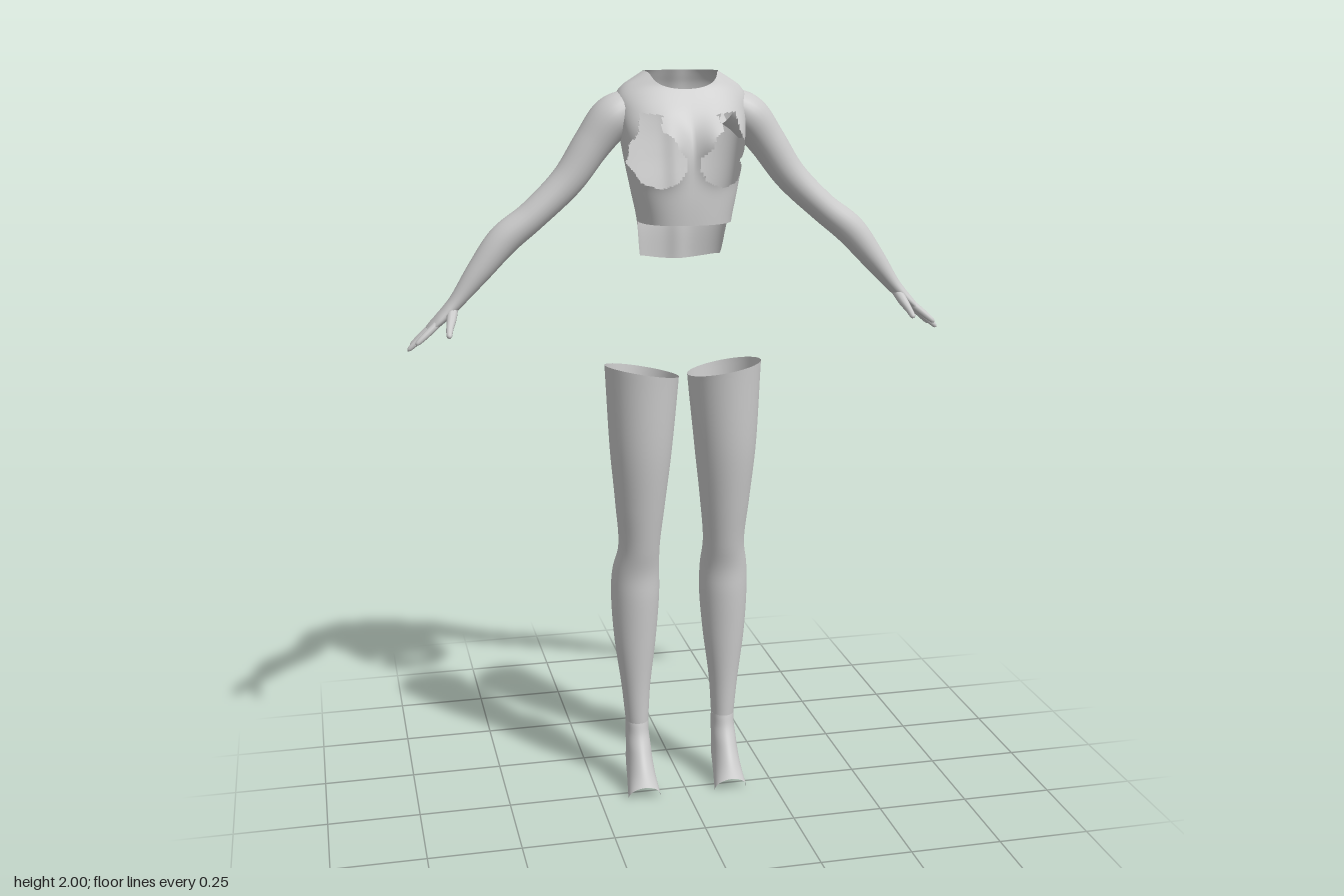
import * as THREE from 'three';
import { mergeVertices } from 'three/addons/utils/BufferGeometryUtils.js';

const material = new THREE.MeshStandardMaterial({ color: 0xcccccc, side: THREE.DoubleSide });
const { sin, cos, PI, min, max, abs, sign, exp } = Math;
const smooth = THREE.MathUtils.smoothstep;

// Smooth lookup through rows of [key, value, value, ...]
function lookup(rows) {
  const n = rows[0].length - 1;
  const spline = new THREE.CubicInterpolant(rows.map(r => r[0]), rows.flatMap(r => r.slice(1)), n, new Float32Array(n));
  return t => Array.from(spline.evaluate(t));
}

// Surface from point(u, v); quads whose middle fails keep() are left out
function surface(name, nu, nv, point, keep = () => true) {
  const pts = [], index = [];
  for (let j = 0; j <= nv; j++) for (let i = 0; i <= nu; i++) pts.push(new THREE.Vector3(...point(i / nu, j / nv)));
  for (let j = 0; j < nv; j++) for (let i = 0; i < nu; i++) {
    const a = j * (nu + 1) + i, b = a + 1, c = a + nu + 1, d = c + 1;
    if (keep(pts[a].clone().add(pts[d]).multiplyScalar(0.5))) index.push(a, b, d, a, d, c);
  }
  let geometry = new THREE.BufferGeometry().setFromPoints(pts).setIndex(index);
  geometry = mergeVertices(geometry, 1e-5);
  geometry.computeVertexNormals();
  const mesh = new THREE.Mesh(geometry, material);
  mesh.name = name;
  return mesh;
}

// Limb along rows of [x, y, z, thickness radius, width radius]
function limb(name, rows, nu, nv) {
  const at = lookup(rows.map((r, i) => [i / (rows.length - 1), ...r]));
  return surface(name, nu, nv, (u, v) => {
    const [x, y, z, thick, wide] = at(v);
    const p = at(max(0, v - 0.01)), q = at(min(1, v + 0.01));
    const T = new THREE.Vector3(q[0] - p[0], q[1] - p[1], q[2] - p[2]).normalize();
    const B = new THREE.Vector3(0, 0, 1).addScaledVector(T, -T.z).normalize();
    const N = new THREE.Vector3().crossVectors(B, T);
    const a = u * 2 * PI;
    return new THREE.Vector3(x, y, z).addScaledVector(N, thick * cos(a)).addScaledVector(B, wide * sin(a)).toArray();
  });
}

// Ragged chest opening, left side
const opening = [[.07, 1.895], [.125, 1.9], [.133, 1.85], [.152, 1.825], [.152, 1.77], [.125, 1.725], [.08, 1.712],
  [.035, 1.73], [.016, 1.765], [.022, 1.795], [.045, 1.815], [.052, 1.84], [.082, 1.86]];
function inOpening(x, y) {
  let inside = false;
  opening.forEach(([x1, y1], i) => {
    const [x2, y2] = opening[(i + 1) % opening.length];
    if ((y1 > y) !== (y2 > y) && x < x1 + (x2 - x1) * (y - y1) / (y2 - y1)) inside = !inside;
  });
  return inside;
}

function torso() {
  // height, half width, front z, back z, side z
  const at = lookup([
    [1.50, .114, .092, -.094, -.03], [1.62, .122, .10, -.09, -.02], [1.70, .138, .10, -.102, -.02],
    [1.78, .153, .092, -.117, -.03], [1.85, .164, .075, -.128, -.04], [1.90, .17, .05, -.132, -.05],
    [1.94, .17, .024, -.13, -.055], [1.965, .152, .01, -.124, -.055], [1.985, .122, .005, -.116, -.055],
    [2.0, .098, 0, -.11, -.055]]);
  return surface('torso', 160, 100, (u, v) => {
    const a = u * 2 * PI + PI, c = cos(a), s = sin(a);
    const top = 2.0 - 0.043 * max(0, c) ** 4;
    const bottom = 1.62 - (0.095 + 0.015 * max(0, -c) ** 3) * smooth(-c, 0, 0.4);
    const y = bottom + (top - bottom) * v;
    const [w, front, back, side] = at(y);
    const x = w * sign(s) * abs(s) ** 0.85;
    let z = side + (c > 0 ? front - side : side - back) * sign(c) * abs(c) ** 0.8;
    // Bust
    const dx = (abs(x) - 0.068) / (abs(x) > 0.068 ? 0.07 : 0.042), dy = (y - 1.805) / (y > 1.805 ? 0.065 : 0.055);
    z += 0.066 * exp(-dx * dx - dy * dy) * smooth(c, 0, 0.35);
    // Groove along the spine
    z += 0.009 * exp(-((x / 0.025) ** 2)) * smooth(-c, 0.5, 0.9);
    return [x, y, z];
  }, p => !(p.z > -0.02 && inOpening(abs(p.x), p.y)));
}

function arm() {
  const group = new THREE.Group();
  group.name = 'arm';
  group.add(limb('armAndPalm', [
    [.135, 1.908, -.058, .05, .056], [.182, 1.88, -.058, .056, .064], [.235, 1.815, -.057, .049, .053],
    [.30, 1.725, -.056, .043, .046], [.39, 1.64, -.055, .039, .045], [.468, 1.578, -.054, .041, .043],
    [.53, 1.505, -.052, .033, .037], [.588, 1.432, -.05, .021, .028], [.615, 1.402, -.052, .017, .031],
    [.642, 1.375, -.055, .014, .037], [.667, 1.352, -.057, .009, .033], [.674, 1.346, -.057, .001, .02]], 24, 80));
  // Fingers: base z and tip
  [[-.03, .706, 1.32, -.012], [-.048, .726, 1.299, -.045], [-.066, .716, 1.305, -.079], [-.083, .683, 1.324, -.109]]
    .forEach(([z, x, y, tipZ]) => {
      const along = (t, r) => [.65 + (x - .65) * t, 1.367 + (y - 1.367) * t, z + (tipZ - z) * t, r, r];
      group.add(limb('finger', [along(0, .01), along(.35, .0095), along(.65, .0085), along(.92, .006), along(1, .0005)], 10, 14));
    });
  group.add(limb('thumb', [[.605, 1.405, -.045, .014, .014], [.613, 1.382, -.012, .013, .013],
    [.62, 1.364, .016, .0095, .0095], [.624, 1.349, .038, .007, .007], [.625, 1.345, .043, .0005, .0005]], 10, 16));
  return group;
}

function leg() {
  const group = new THREE.Group();
  group.name = 'leg';
  // height, inner x, outer x, back z, front z
  const at = lookup([
    [.20, .093, .157, -.105, -.027], [.30, .087, .167, -.112, -.022], [.45, .069, .186, -.132, -.01],
    [.58, .059, .193, -.145, 0], [.65, .06, .19, -.136, .003], [.72, .063, .177, -.108, .018],
    [.85, .051, .186, -.104, .044], [1.0, .034, .2, -.113, .068], [1.222, .014, .212, -.13, .084]]);
  group.add(surface('leg', 36, 60, (u, v) => {
    const y = .2 + 1.022 * v, a = u * 2 * PI + PI;
    const [x0, x1, z0, z1] = at(y);
    const tilt = smooth(y, 1.0, 1.222);
    return [(x0 + x1) / 2 + (x1 - x0) / 2 * sin(a), y + tilt * (.018 * sin(a) + .008 * cos(a)),
      (z0 + z1) / 2 + (z1 - z0) / 2 * cos(a)];
  }));
  // Instep, open at heel and sole: half width, crown y z, edge y z, half arc
  const instep = lookup([
    [0, .032, .2, -.027, .2, -.105, PI], [.25, .033, .165, -.017, .145, -.108, PI],
    [.5, .036, .122, .006, .1, -.065, .62 * PI], [.75, .04, .08, .031, .052, -.015, .5 * PI],
    [1, .046, .04, .053, .004, .035, .5 * PI]]);
  group.add(surface('instep', 32, 24, (u, v) => {
    const [w, cy, cz, ey, ez, arc] = instep(1 - v);
    const A = min(arc, PI), a = (2 * u - 1) * A, t = (cos(a) - cos(A)) / (1 - cos(A));
    return [.125 + w * sin(a), ey + (cy - ey) * t, ez + (cz - ez) * t];
  }));
  return group;
}

export function createModel() {
  const model = new THREE.Group();
  model.name = 'figure';
  model.add(torso());
  for (const side of [1, -1]) for (const part of [arm(), leg()]) {
    part.name = (side > 0 ? 'left ' : 'right ') + part.name;
    part.scale.x = side;
    model.add(part);
  }
  return model;
}
